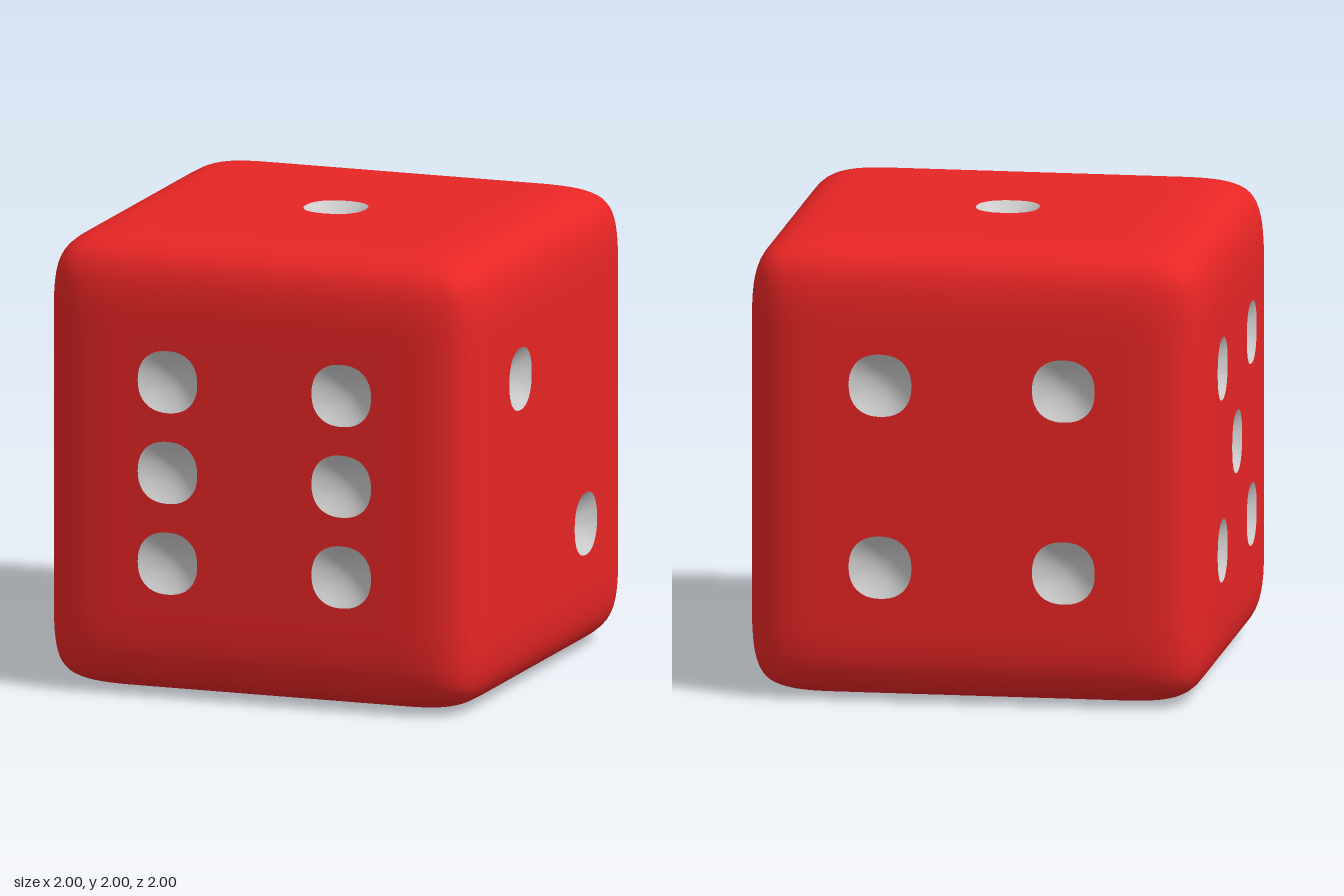
import * as THREE from 'three';
import { mergeGeometries, mergeVertices } from 'three/addons/utils/BufferGeometryUtils.js';

const FLAT = 0.6;          // half width of the flat middle of each face
const PIP_R = 0.137, PIP_DEPTH = 0.06, STEP = 0.4;

// Slightly squared circle used for the pip rims
function rimPoint(angle, r = PIP_R) {
  const c = Math.cos(angle), s = Math.sin(angle);
  const k = r / Math.pow(Math.abs(c) ** 2.3 + Math.abs(s) ** 2.3, 1 / 2.3);
  return new THREE.Vector2(c * k, s * k);
}

// Soft rounding of the face border, meeting its neighbours at 45 degrees
function roundBorder(geo) {
  const p = geo.attributes.position, k = 0.4 / 6;
  const cube = (a) => Math.max(0, (Math.abs(a) - FLAT) / (1 - FLAT)) ** 3;
  for (let i = 0; i < p.count; i++) {
    const u = p.getX(i), v = p.getY(i), a = cube(u), b = cube(v), ab = a * b / 2;
    p.setXYZ(i, u - Math.sign(u) * k * (a + ab), v - Math.sign(v) * k * (b + ab), 1 - k * (a + b - ab));
  }
  return geo;
}

function bare(geo) {
  const g = geo.index ? geo.toNonIndexed() : geo;
  g.deleteAttribute('uv');
  g.deleteAttribute('normal');
  return g;
}

function smooth(geos) {
  const g = mergeVertices(mergeGeometries(geos), 1e-4);
  g.computeVertexNormals();
  return g;
}

// One face at z = 1: flat middle with pip holes, and four rounded border strips
function faceGeometries(pips) {
  const shape = new THREE.Shape([[-1, -1], [1, -1], [1, 1], [-1, 1]]
    .map(([x, y]) => new THREE.Vector2(x * FLAT, y * FLAT)));
  for (const [x, y] of pips) {
    const pts = [];
    for (let i = 0; i < 40; i++) {
      pts.push(rimPoint(-i / 40 * Math.PI * 2).add(new THREE.Vector2(x * STEP, y * STEP)));
    }
    shape.holes.push(new THREE.Path(pts));
  }
  const parts = [bare(new THREE.ShapeGeometry(shape).translate(0, 0, 1))];
  for (let q = 0; q < 4; q++) {
    const strip = new THREE.PlaneGeometry(0.4, 1.6, 10, 40).translate(0.8, 0.2, 0);
    parts.push(bare(roundBorder(strip.rotateZ(q * Math.PI / 2))));
  }
  return parts;
}

// Shallow bowl pressed into the surface
function bowlGeometry() {
  const g = new THREE.RingGeometry(0, 1, 40, 7);
  const p = g.attributes.position;
  for (let i = 0; i < p.count; i++) {
    const rho = Math.hypot(p.getX(i), p.getY(i));
    const e = rimPoint(Math.atan2(p.getY(i), p.getX(i)), PIP_R * rho);
    p.setXYZ(i, e.x, e.y, 1 - PIP_DEPTH * (1 - rho * rho));
  }
  return smooth([bare(g)]);
}

export function createModel() {
  const group = new THREE.Group();
  group.name = 'die';
  const red = new THREE.MeshStandardMaterial({ color: 0xe82525 });
  const grey = new THREE.MeshStandardMaterial({ color: 0xcccccc });

  // Pip layouts in steps from the face centre
  const four = [[-1, -1], [1, -1], [-1, 1], [1, 1]];
  const six = [...four, [-1, 0], [1, 0]];
  const H = Math.PI / 2;
  const faces = [
    { name: 'front', rot: [0, 0], pips: six },
    { name: 'left', rot: [0, H], pips: [[-1, 1], [1, -1]] },
    { name: 'back', rot: [0, 2 * H], pips: four },
    { name: 'right', rot: [0, -H], pips: [...four, [0, 0]] },
    { name: 'top', rot: [-H, 0], pips: [[0, 0]] },
    { name: 'bottom', rot: [H, 0], pips: [...six, [0, -1], [0, 0], [0, 1]] },
  ];

  const shell = [];
  const bowl = bowlGeometry();
  for (const { name, rot, pips } of faces) {
    for (const g of faceGeometries(pips)) {
      shell.push(g.rotateX(rot[0]).rotateY(rot[1]).translate(0, 1, 0));
    }
    const pipGroup = new THREE.Group();
    pipGroup.name = name + 'Pips';
    pipGroup.rotation.set(rot[0], rot[1], 0);
    pipGroup.position.y = 1;
    for (const [x, y] of pips) {
      const pip = new THREE.Mesh(bowl, grey);
      pip.name = 'pip';
      pip.position.set(x * STEP, y * STEP, 0);
      pipGroup.add(pip);
    }
    group.add(pipGroup);
  }

  // Body: all faces welded into one smooth rounded cube
  const body = new THREE.Mesh(smooth(shell), red);
  body.name = 'body';
  group.add(body);
  return group;
}
